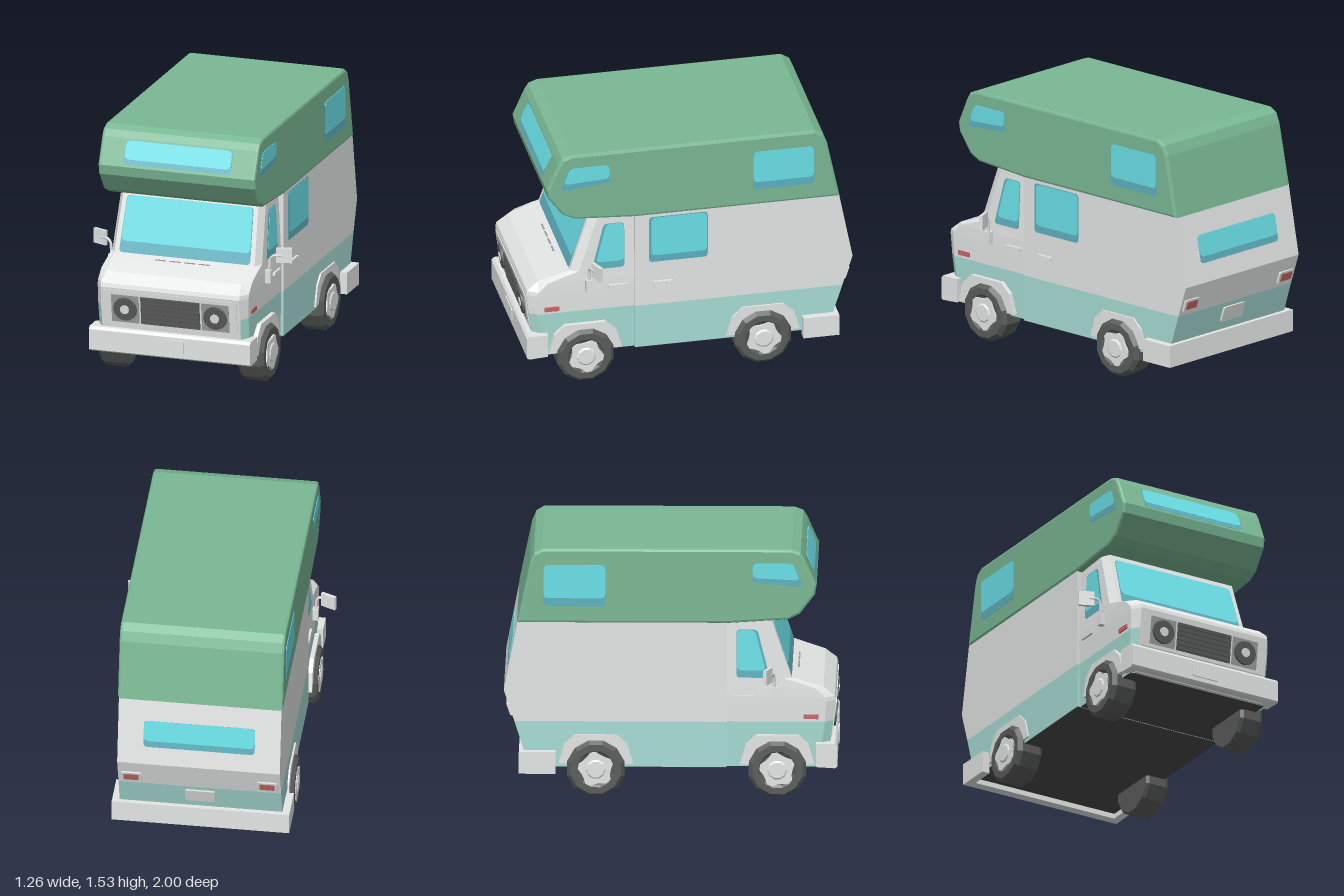
import * as THREE from 'three';

const paint = (name, color) => Object.assign(new THREE.MeshStandardMaterial({ color }), { name });

export function createModel() {
  const white = paint('body white', 0xe3e6e5);
  const green = paint('roof green', 0x7ab894);
  const teal = paint('skirt teal', 0xa7dcd5);
  const glass = paint('glass cyan', 0x6ae0e7);
  const shade = paint('glass lower blue', 0x5eb1c0);
  const rubber = paint('tyre grey', 0x5a5b5b);
  const black = paint('underside black', 0x484848);
  const grey = paint('trim grey', 0x9a9d9c);
  const red = paint('lamp red', 0xc86868);

  const model = new THREE.Group();
  model.name = 'camperVan';
  const add = (name, geo, mat, parent = model) => {
    const mesh = new THREE.Mesh(geo, mat);
    mesh.name = name;
    parent.add(mesh);
    return mesh;
  };
  const box = (name, mat, [w, h, d], [x, y, z]) => {
    const mesh = add(name, new THREE.BoxGeometry(w, h, d), mat);
    mesh.position.set(x, y, z);
    return mesh;
  };
  const flat = (geo) => {
    const g = geo.index ? geo.toNonIndexed() : geo;
    g.computeVertexNormals();
    return g;
  };

  // Side profile [z, y] extruded across the width
  const slab = (name, mat, profile, half, bevel = 0) => {
    const shape = new THREE.Shape(profile.map(([z, y]) => new THREE.Vector2(z, y)));
    const depth = 2 * (half - bevel);
    const geo = new THREE.ExtrudeGeometry(shape, {
      depth, bevelEnabled: bevel > 0, bevelSize: bevel, bevelThickness: bevel, bevelOffset: -bevel, bevelSegments: 2,
    });
    geo.translate(0, 0, -depth / 2).rotateY(-Math.PI / 2);
    return add(name, geo, mat);
  };

  // Polygon with rounded corners
  const rounded = (pts, r) => {
    const p = pts.map(([x, y]) => new THREE.Vector2(x, y));
    const shape = new THREE.Shape();
    p.forEach((c, i) => {
      const toward = (q) => c.clone().add(q.clone().sub(c).setLength(r));
      const a = toward(p[(i + p.length - 1) % p.length]);
      const b = toward(p[(i + 1) % p.length]);
      if (i) shape.lineTo(a.x, a.y); else shape.moveTo(a.x, a.y);
      shape.quadraticCurveTo(c.x, c.y, b.x, b.y);
    });
    shape.closePath();
    return shape;
  };

  // Thin plate laid on a face of the van; surf(y) is how far out that face lies
  const place = {
    left: (u, y, n) => [n, y, -u],
    right: (u, y, n) => [-n, y, u],
    front: (u, y, n) => [u, y, n],
    rear: (u, y, n) => [-u, y, -n],
  };
  const plate = (name, mat, face, pts, surf, t = 0.005, r = 0.02) => {
    const flip = face === 'left' ? -1 : 1;
    const shape = rounded(pts.map(([u, y]) => [u * flip, y]), r);
    const geo = new THREE.ExtrudeGeometry(shape, { depth: t, bevelEnabled: false, curveSegments: 4 });
    const p = geo.attributes.position;
    for (let i = 0; i < p.count; i++) {
      p.setXYZ(i, ...place[face](p.getX(i), p.getY(i), surf(p.getY(i)) + p.getZ(i)));
    }
    return add(name, flat(geo), mat);
  };
  const rect = (u0, u1, y0, y1) => [[u0, y0], [u1, y0], [u1, y1], [u0, y1]];
  const windowPane = (name, face, outer, inner, surf) => {
    plate(name + 'Lower', shade, face, outer, surf, 0.002, 0.025);
    plate(name, glass, face, inner, surf, 0.004, 0.03);
  };

  // Camper body: skirt, walls and roof with its overhang
  slab('camperSkirt', teal, [[0.33, 0.18], [0.33, 0.46], [-0.937, 0.46], [-0.85, 0.18]], 0.49);
  slab('camperWalls', white, [[0.33, 0.46], [0.33, 1.08], [-0.917, 1.08], [-1, 0.65], [-0.937, 0.46]], 0.49);
  slab('camperRoof', green, [
    [0.33, 1.07], [0.7, 1.095], [0.77, 1.13], [0.86, 1.25], [0.87, 1.31], [0.8, 1.47], [0.775, 1.51], [0.72, 1.53],
    [-0.77, 1.53], [-0.82, 1.5], [-0.845, 1.44], [-0.922, 1.07],
  ], 0.497, 0.016);

  // Cab: levels of [y, front z, half width, corner width, corner depth]
  const lower = [[0.18, 0.932, 0.47, 0.035, 0.05], [0.46, 0.969, 0.476, 0.035, 0.05]];
  const upper = [
    lower[1], [0.585, 0.985, 0.478, 0.04, 0.06], [0.61, 0.978, 0.478, 0.04, 0.06], [0.665, 0.91, 0.477, 0.05, 0.05],
    [0.7, 0.8, 0.475, 0.04, 0.04], [0.725, 0.72, 0.474, 0.03, 0.05], [1.1, 0.593, 0.456, 0.03, 0.05],
  ];
  const ring = ([y, z, w, cx, cz]) => [
    [w, y, 0.32], [w, y, z - cz], [w - cx, y, z], [cx - w, y, z], [-w, y, z - cz], [-w, y, 0.32],
  ];
  const loft = (name, mat, levels, faces) => {
    const pos = [];
    for (let i = 0; i + 1 < levels.length; i++) {
      const a = ring(levels[i]), b = ring(levels[i + 1]);
      for (const j of faces) pos.push(...[a[j], b[j], b[j + 1], a[j], b[j + 1], a[j + 1]].flat());
    }
    const geo = new THREE.BufferGeometry();
    geo.setAttribute('position', new THREE.Float32BufferAttribute(pos, 3));
    add(name, flat(geo), mat);
  };
  loft('cabShell', white, upper, [0, 1, 2, 3, 4]);
  loft('cabSkirt', teal, lower, [0, 1, 3, 4]);
  loft('cabNose', white, lower, [2]);
  box('camperUnderside', black, [0.976, 0.004, 1.18], [0, 0.179, -0.26]);
  box('cabUnderside', black, [0.93, 0.004, 0.57], [0, 0.184, 0.615]);

  // Surfaces that plates lie on
  const cabSide = (y) => (y < 0.725 ? 0.476 : 0.474 - (y - 0.725) * 0.048);
  const camperSide = () => 0.49;
  const roofSide = () => 0.497;
  const nose = (y) => 0.969 + (y - 0.46) * 0.13;
  const screen = (y) => 0.72 - (y - 0.725) * 0.339;
  const roofFront = (y) => 0.87 - (y - 1.31) * 0.4375;
  const rearUpper = (y) => 1 - (y - 0.65) * 0.193;
  const rearLower = (y) => 1 - (0.65 - y) * 0.332;

  // Windows
  windowPane('windshield', 'front', [[-0.415, 0.728], [0.415, 0.728], [0.4, 1.055], [-0.4, 1.055]],
    [[-0.408, 0.795], [0.408, 0.795], [0.397, 1.055], [-0.397, 1.055]], screen);
  windowPane('roofFrontWindow', 'front', rect(-0.34, 0.34, 1.325, 1.46), rect(-0.335, 0.335, 1.355, 1.46), roofFront);
  windowPane('rearWindow', 'rear', rect(-0.335, 0.335, 0.765, 0.935), rect(-0.335, 0.335, 0.805, 0.935), rearUpper);
  windowPane('camperDoorWindow', 'left', rect(-0.115, 0.245, 0.75, 1.055), rect(-0.11, 0.23, 0.795, 1.05), camperSide);
  for (const face of ['left', 'right']) {
    windowPane('cabWindow', face, [[0.59, 0.73], [0.39, 0.73], [0.39, 1.025], [0.515, 1.025]],
      [[0.565, 0.775], [0.393, 0.775], [0.393, 1.022], [0.5, 1.022]], cabSide);
    windowPane('roofRearWindow', face, rect(-0.765, -0.39, 1.175, 1.43), rect(-0.762, -0.393, 1.225, 1.43), roofSide);
    windowPane('roofSideWindow', face, [[0.785, 1.3], [0.485, 1.325], [0.485, 1.445], [0.735, 1.445]],
      [[0.77, 1.34], [0.487, 1.355], [0.487, 1.445], [0.73, 1.445]], roofSide);
    plate('sideMarker', red, face, rect(0.79, 0.88, 0.477, 0.505), cabSide, 0.009, 0.004);
    plate('doorHandle', white, face, rect(0.37, 0.49, 0.598, 0.62), cabSide, 0.016, 0.004);
  }
  plate('camperDoorHandle', white, 'left', rect(0.1, 0.22, 0.598, 0.62), camperSide, 0.016, 0.004);

  // Grille and headlights
  plate('noseFrame', white, 'front', rect(-0.42, 0.42, 0.35, 0.572), nose, 0.006, 0.01);
  plate('grille', rubber, 'front', rect(-0.187, 0.187, 0.372, 0.546), nose, 0.009, 0.004);
  for (let i = 0; i < 6; i++) {
    const y = 0.387 + i * 0.029;
    plate('grilleSlat', rubber, 'front', rect(-0.18, 0.18, y - 0.009, y + 0.009), nose, 0.015, 0.002);
  }
  for (const s of [-1, 1]) {
    plate('headlightPanel', grey, 'front', rect(s * 0.285 - 0.087, s * 0.285 + 0.087, 0.372, 0.546), nose, 0.008, 0.006);
    [['headlightRing', 0.076, 0.02, rubber, 16], ['headlightLens', 0.03, 0.025, white, 12]].forEach(([n, r, d, mat, seg]) => {
      const lamp = add(n, new THREE.CylinderGeometry(r * 0.95, r, d, seg).rotateX(Math.PI / 2), mat);
      lamp.position.set(s * 0.285, 0.459, nose(0.459) + d / 2);
      lamp.rotation.x = 0.129;
    });
  }
  for (let i = 0; i < 4; i++) {
    box('hoodVent', grey, [0.07, 0.005, 0.01], [-0.138 + i * 0.092, 0.713, 0.758]);
  }

  // Bumpers, plates and tail lamps
  slab('frontBumper', white, [[0.865, 0.187], [0.98, 0.18], [0.993, 0.19], [0.993, 0.315], [0.98, 0.332], [0.865, 0.332]], 0.51);
  plate('frontPlate', white, 'front', rect(-0.09, 0.09, 0.215, 0.3), () => 0.993, 0.007, 0.012);
  box('rearBumper', white, [1.07, 0.135, 0.06], [0, 0.213, -0.88]);
  for (const s of [-1, 1]) {
    box('rearBumperSide', white, [0.05, 0.135, 0.2], [s * 0.51, 0.213, -0.79]);
    plate('tailLampFrame', white, 'rear', rect(s * 0.41 - 0.06, s * 0.41 + 0.06, 0.487, 0.563), rearLower, 0.014, 0.008);
    plate('tailLamp', red, 'rear', rect(s * 0.41 - 0.045, s * 0.41 + 0.045, 0.5, 0.55), rearLower, 0.018, 0.005);
  }
  plate('rearPlate', white, 'rear', rect(-0.09, 0.09, 0.335, 0.432), rearLower, 0.015, 0.012);

  // Wheels with scalloped hubs and flared arches
  const tyreProfile = [[0, -0.08], [0.165, -0.08], [0.178, -0.06], [0.178, 0.055], [0.155, 0.08], [0.115, 0.08], [0.1, 0.07], [0, 0.07]]
    .map(([r, h]) => new THREE.Vector2(r, h));
  const hubShape = new THREE.Shape(Array.from({ length: 20 }, (_, i) => {
    const r = i % 4 < 2 ? 0.108 : 0.09;
    return new THREE.Vector2(r * Math.cos(i * Math.PI / 10), r * Math.sin(i * Math.PI / 10));
  }));
  for (const s of [-1, 1]) {
    for (const z of [0.635, -0.45]) {
      const wheel = new THREE.Group();
      wheel.name = 'wheel';
      wheel.position.set(s * 0.445, 0.172, z);
      wheel.rotation.z = -s * Math.PI / 2;
      model.add(wheel);
      add('tyre', flat(new THREE.LatheGeometry(tyreProfile, 12, Math.PI / 12)), rubber, wheel);
      const hub = new THREE.ExtrudeGeometry(hubShape, { depth: 0.014, bevelEnabled: false });
      add('hub', hub.rotateX(-Math.PI / 2), white, wheel).position.y = 0.068;
      add('hubCap', flat(new THREE.CylinderGeometry(0.05, 0.062, 0.008, 10)), white, wheel).position.y = 0.085;

      const arch = new THREE.Shape([[-0.225, 0.2], [-0.19, 0.32], [-0.125, 0.38], [0.125, 0.38], [0.19, 0.32], [0.225, 0.2]]
        .map(([a, b]) => new THREE.Vector2(a, b)));
      const geo = new THREE.ExtrudeGeometry(arch, { depth: 0.05, bevelEnabled: false });
      geo.translate(0, 0, -0.025).rotateY(-Math.PI / 2);
      add('wheelArch', geo, white).position.set(s * 0.476, 0, z);
    }

    // Door mirrors
    box('mirrorBracket', white, [0.035, 0.08, 0.035], [s * 0.497, 0.638, 0.615]);
    const arm = new THREE.CatmullRomCurve3([[0.5, 0.66, 0.615], [0.505, 0.745, 0.613], [0.52, 0.765, 0.61], [0.57, 0.768, 0.59]]
      .map(([x, y, z]) => new THREE.Vector3(s * x, y, z)));
    add('mirrorArm', new THREE.TubeGeometry(arm, 10, 0.009, 6), white);
    box('mirrorHead', white, [0.095, 0.092, 0.02], [s * 0.58, 0.767, 0.58]).rotation.y = s * 0.4;
  }
  return model;
}
